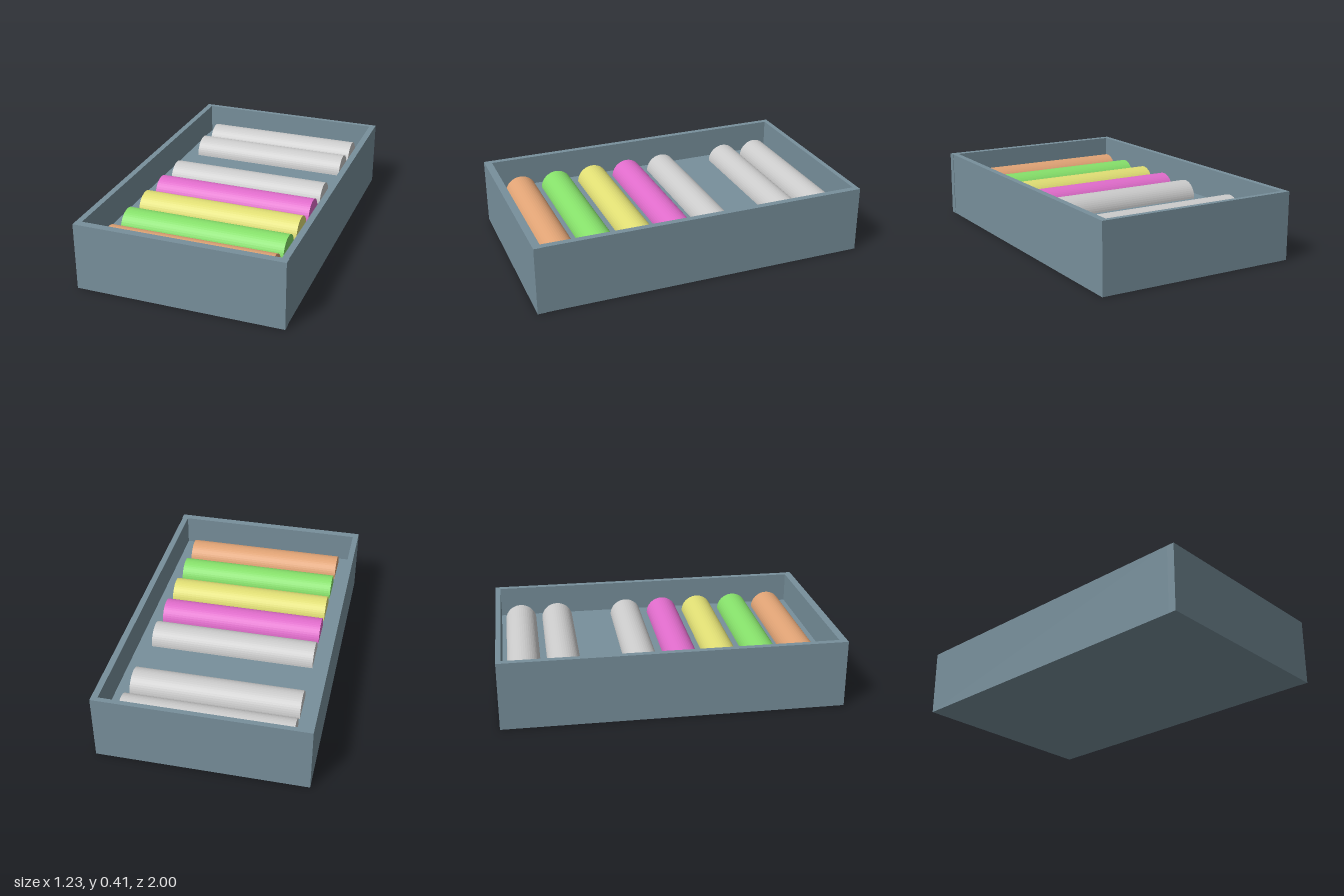
import * as THREE from 'three';

const FLOOR_Y = 0.22;
const HEIGHT = 0.405;

export function createModel() {
  const model = new THREE.Group();
  model.name = 'trayWithRods';

  const trayMaterial = new THREE.MeshStandardMaterial({ color: 0x78909c });

  // Box given by its lower and upper corners
  function addBox(name, [x0, y0, z0], [x1, y1, z1]) {
    const mesh = new THREE.Mesh(new THREE.BoxGeometry(x1 - x0, y1 - y0, z1 - z0), trayMaterial);
    mesh.position.set((x0 + x1) / 2, (y0 + y1) / 2, (z0 + z1) / 2);
    mesh.name = name;
    model.add(mesh);
  }

  // Tray: raised floor and four walls, the front one a touch wider
  addBox('floor', [-0.58, 0, -0.97], [0.575, FLOOR_Y, 0.955]);
  addBox('rightWall', [-0.615, 0, -1], [-0.58, HEIGHT, 0.955]);
  addBox('leftWall', [0.575, 0, -1], [0.612, HEIGHT, 0.955]);
  addBox('backWall', [-0.58, 0, -1], [0.575, HEIGHT, -0.97]);
  addBox('frontWall', [-0.615, 0, 0.955], [0.615, HEIGHT, 1]);

  // Rods half sunk in the floor, from back to front, with one empty place
  const rodGeometry = new THREE.CylinderGeometry(0.098, 0.098, 0.99, 48).rotateZ(Math.PI / 2);
  const rods = [
    ['greyRod1', -0.845, 0xcccccc],
    ['greyRod2', -0.61, 0xcccccc],
    ['greyRod3', -0.158, 0xcccccc],
    ['pinkRod', 0.085, 0xe06ccb],
    ['yellowRod', 0.322, 0xe0de74],
    ['greenRod', 0.565, 0x86e06a],
    ['orangeRod', 0.8, 0xe0a375],
  ];
  for (const [name, z, color] of rods) {
    const rod = new THREE.Mesh(rodGeometry, new THREE.MeshStandardMaterial({ color, flatShading: true }));
    rod.position.set(-0.005, FLOOR_Y, z);
    rod.name = name;
    model.add(rod);
  }

  return model;
}
